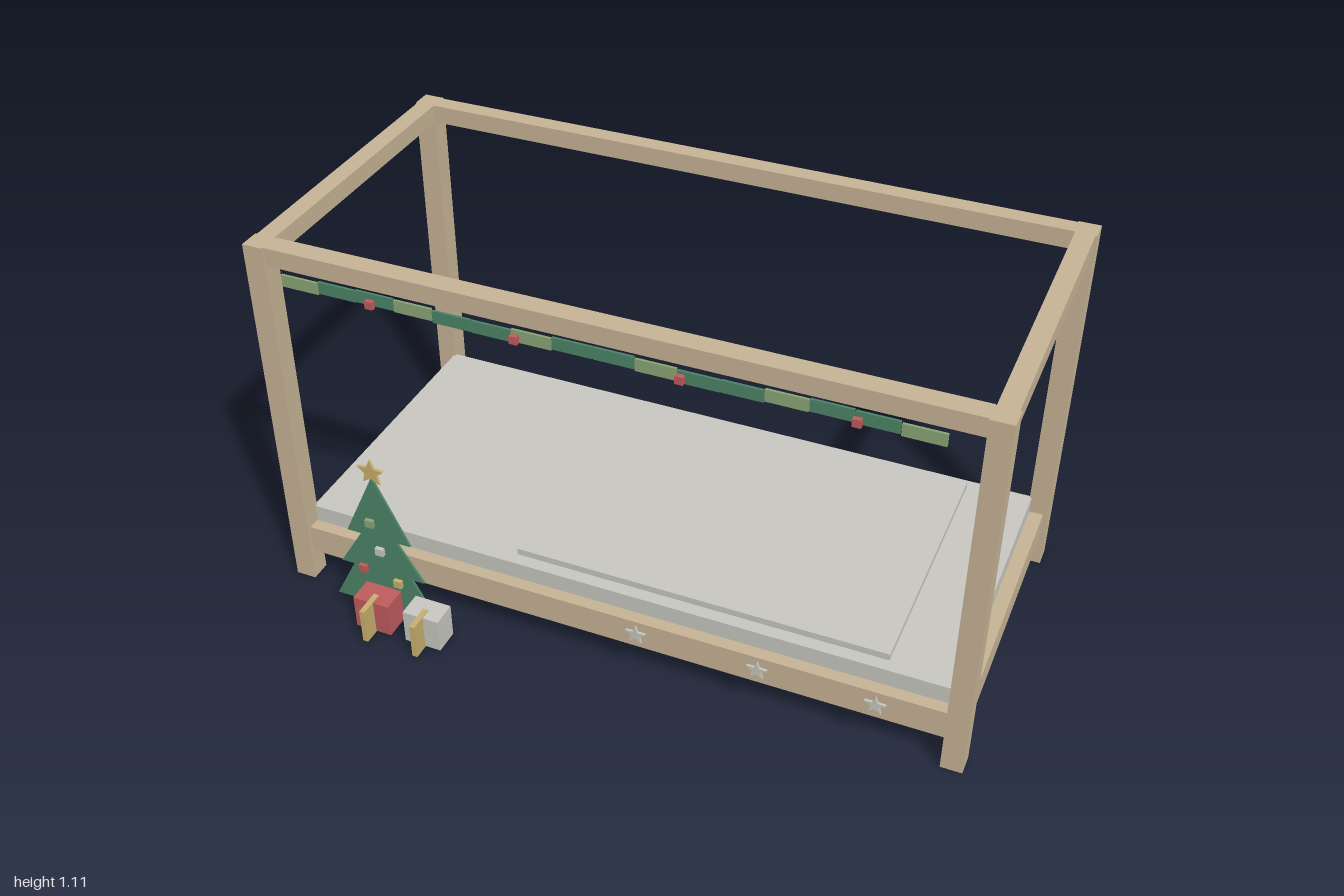
import * as THREE from 'three';

const mat = (name, color, side = THREE.FrontSide) => {
  const m = new THREE.MeshStandardMaterial({ color, side });
  m.name = name;
  return m;
};

export function createModel() {
  const model = new THREE.Group();
  model.name = 'canopyBed';
  const wood = mat('wood', 0xc8b496);
  const linen = mat('linen', 0xc9c8c1);
  const green = mat('pineGreen', 0x4c8468);
  const sage = mat('sageGreen', 0x8aa676);
  const red = mat('red', 0xc05c5e);
  const gold = mat('gold', 0xc9b06e);

  const add = (parent, name, geometry, material, x = 0, y = 0, z = 0) => {
    const mesh = new THREE.Mesh(geometry, material);
    mesh.name = name;
    mesh.position.set(x, y, z);
    parent.add(mesh);
    return mesh;
  };
  // Box given by its lower and upper limits on each axis
  const box = (parent, name, material, [x0, x1], [y0, y1], [z0, z1]) =>
    add(parent, name, new THREE.BoxGeometry(x1 - x0, y1 - y0, z1 - z0), material,
      (x0 + x1) / 2, (y0 + y1) / 2, (z0 + z1) / 2);
  const group = (name) => {
    const g = new THREE.Group();
    g.name = name;
    model.add(g);
    return g;
  };
  const plate = (points, depth) => new THREE.ExtrudeGeometry(
    new THREE.Shape(points.map(([x, y]) => new THREE.Vector2(x, y))), { depth, bevelEnabled: false });
  const star = (r, inner, depth) => plate(Array.from({ length: 10 }, (_, i) => {
    const a = Math.PI / 2 + i * Math.PI / 5, k = i % 2 ? inner : r;
    return [k * Math.cos(a), k * Math.sin(a)];
  }), depth);

  // Frame: corner posts, canopy beams and bed rails
  const frame = group('frame');
  for (const x of [-0.97, 0.97])
    for (const z of [0.355, -0.535])
      box(frame, 'post', wood, [x - 0.03, x + 0.03], [0, 1.11], [z - 0.03, z + 0.03]);
  for (const [z0, z1] of [[0.322, 0.38], [-0.56, -0.508]])
    box(frame, 'longBeam', wood, [-0.94, 0.94], [1.057, 1.11], [z0, z1]);
  for (const s of [-1, 1]) {
    const at = (a, b) => s > 0 ? [a, b] : [-b, -a];
    box(frame, 'sideBeam', wood, at(0.942, 0.995), [1.057, 1.11], [-0.505, 0.325]);
    box(frame, 'sideRail', wood, at(0.955, 0.985), [0.093, 0.18], [-0.505, 0.325]);
  }
  for (const z of [0.355, -0.535])
    box(frame, 'longRail', wood, [-0.94, 0.94], [0.093, 0.18], [z - 0.015, z + 0.015]);
  box(frame, 'bedBase', wood, [-0.955, 0.955], [0.11, 0.178], [-0.52, 0.34]);

  // Bedding
  const bedding = group('bedding');
  box(bedding, 'mattress', linen, [-0.945, 0.945], [0.178, 0.23], [-0.512, 0.332]);
  box(bedding, 'blanket', linen, [-0.31, 0.76], [0.23, 0.25], [-0.48, 0.295]);

  // Garland: short strips that rise and dip a little, with red berries
  const garland = group('garland');
  for (let i = 0; i < 16; i++) {
    const x = -0.811 + i * 0.1081;
    const y = 1.058 + 0.004 * Math.cos(x * 10.5);
    add(garland, 'garlandStrip', new THREE.BoxGeometry(0.106, 0.034, 0.007),
      i % 3 ? green : sage, x, y, 0.42);
  }
  for (const x of [-0.605, -0.205, 0.226, 0.657])
    add(garland, 'berry', new THREE.BoxGeometry(0.022, 0.022, 0.014), red, x, 1.052, 0.43);

  // Flat three-tier tree with trunk, top star and ornaments
  const tree = group('tree');
  tree.position.set(-0.658, 0, 0);
  const half = [[0.16, 0.037], [0.092, 0.168], [0.131, 0.168], [0.056, 0.29], [0.099, 0.29]];
  const outline = [...half, [0, 0.5], ...half.map(([x, y]) => [-x, y]).reverse()];
  add(tree, 'treeTiers', plate(outline, 0.007), green, 0, 0, 0.438);
  box(tree, 'trunk', wood, [-0.016, 0.016], [0.033, 0.105], [0.433, 0.438]);
  add(tree, 'topStar', star(0.042, 0.019, 0.008), gold, 0, 0.517, 0.438);
  for (const [x, y, m] of [[-0.019, 0.341, sage], [0.003, 0.247, linen], [-0.058, 0.167, red], [0.05, 0.145, gold]])
    add(tree, 'ornament', new THREE.BoxGeometry(0.025, 0.024, 0.012), m, x, y, 0.451);

  // Gifts, each with a ribbon slab standing out at the front
  for (const [x, m] of [[-0.66, red], [-0.503, linen]]) {
    const gift = group('gift');
    box(gift, 'giftBox', m, [x - 0.055, x + 0.055], [0.01, 0.114], [0.446, 0.52]);
    box(gift, 'ribbon', gold, [x - 0.008, x + 0.008], [0.008, 0.117], [0.487, 0.566]);
  }

  // Small stars in front of the bed rail
  const stars = group('railStars');
  for (const x of [0.105, 0.447, 0.765])
    add(stars, 'railStar', star(0.03, 0.0125, 0.007), linen, x, 0.197, 0.426);

  return model;
}
